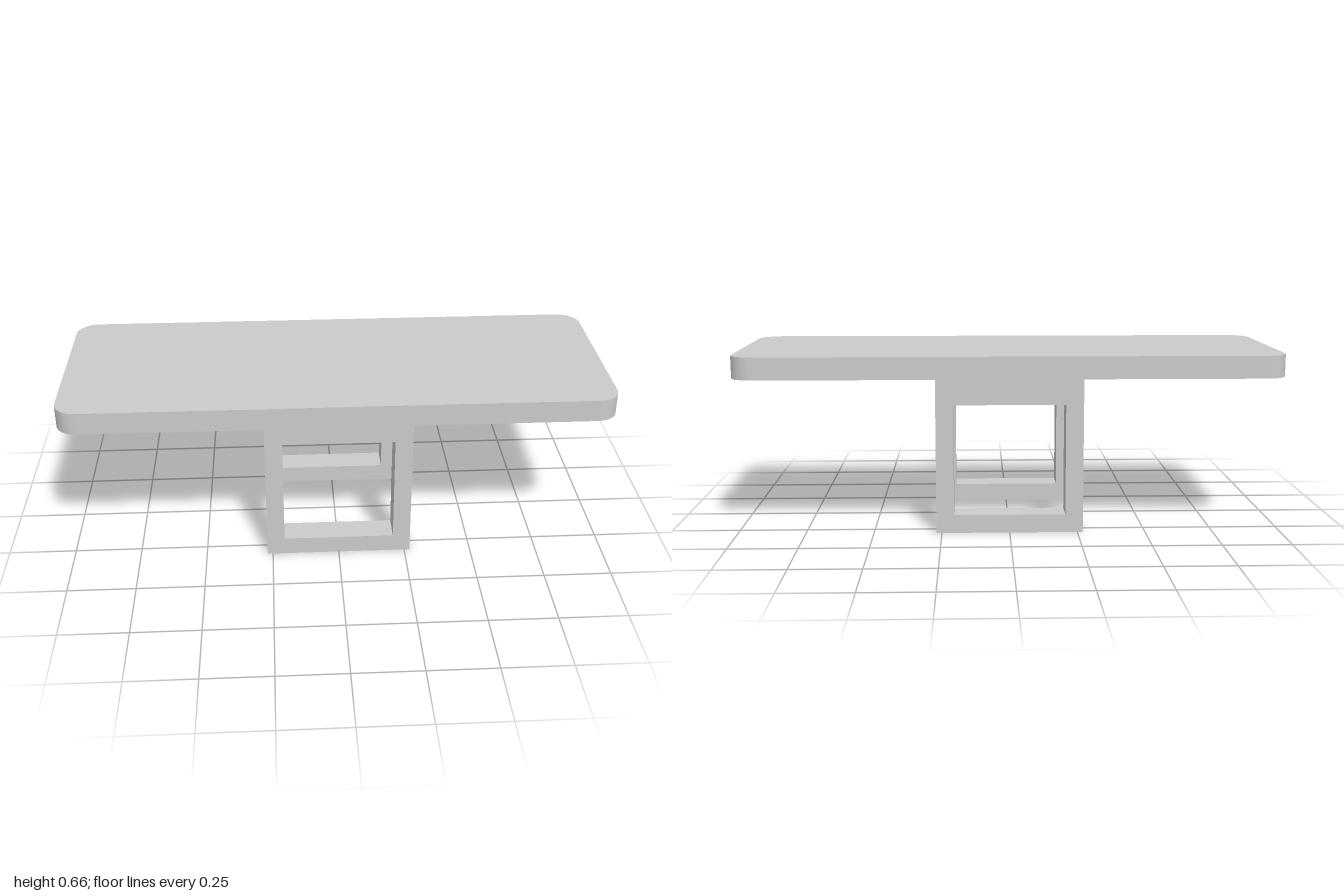
import * as THREE from 'three';

const material = new THREE.MeshStandardMaterial({ color: 0xcccccc, flatShading: true });

// Rectangle outline, drawn counter-clockwise
function rectangle(path, x0, y0, x1, y1) {
  path.moveTo(x0, y0);
  path.lineTo(x1, y0);
  path.lineTo(x1, y1);
  path.lineTo(x0, y1);
  path.closePath();
  return path;
}

function addMesh(group, name, geometry) {
  const mesh = new THREE.Mesh(geometry, material);
  mesh.name = name;
  group.add(mesh);
  return mesh;
}

export function createModel() {
  const group = new THREE.Group();
  group.name = 'table';

  const underside = 0.578, topThickness = 0.082;
  const halfLength = 1, halfDepth = 0.373, radius = 0.08;
  const legOuter = 0.27, legInner = 0.205;
  const openingBottom = 0.067, openingTop = 0.476;
  const legNear = 0.205, legDepth = 0.103;

  // Tabletop: slab with rounded corners
  const slab = new THREE.Shape();
  const cx = halfLength - radius, cz = halfDepth - radius;
  [[cx, cz], [-cx, cz], [-cx, -cz], [cx, -cz]].forEach(([x, z], i) => {
    slab.absarc(x, z, radius, i * Math.PI / 2, (i + 1) * Math.PI / 2, false);
  });
  slab.closePath();
  const topGeometry = new THREE.ExtrudeGeometry(slab, {
    depth: topThickness, bevelEnabled: false, curveSegments: 8,
  });
  topGeometry.rotateX(-Math.PI / 2);
  addMesh(group, 'tabletop', topGeometry).position.y = underside;

  // Leg frames: square loops at the front and back
  const frame = rectangle(new THREE.Shape(), -legOuter, 0, legOuter, underside);
  frame.holes.push(rectangle(new THREE.Path(), -legInner, openingBottom, legInner, openingTop));
  const frameGeometry = new THREE.ExtrudeGeometry(frame, { depth: legDepth, bevelEnabled: false });
  addMesh(group, 'frontLegFrame', frameGeometry).position.z = legNear;
  addMesh(group, 'backLegFrame', frameGeometry).position.z = -legNear - legDepth;

  // Crossbeam joining the frames under the top
  const beamHeight = underside - openingTop;
  addMesh(group, 'crossbeam', new THREE.BoxGeometry(legInner * 2, beamHeight, legNear * 2))
    .position.y = openingTop + beamHeight / 2;

  return group;
}
